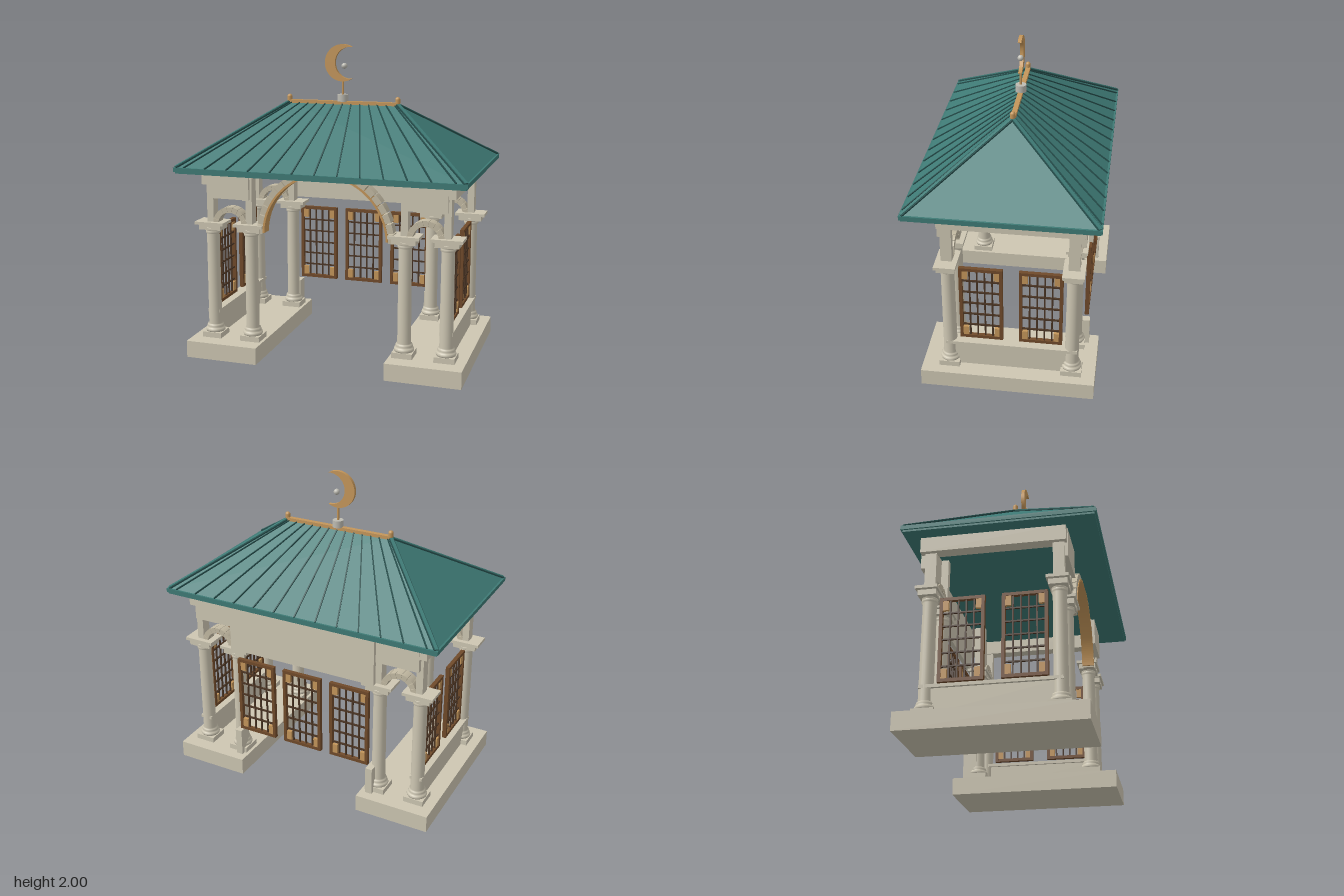
import * as THREE from 'three';
import { ConvexGeometry } from 'three/addons/geometries/ConvexGeometry.js';

const mat = (name, color) => {
  const m = new THREE.MeshStandardMaterial({ color });
  m.name = name;
  return m;
};

export function createModel() {
  const model = new THREE.Group();
  model.name = 'pavilion';
  const stone = mat('stone', 0xcdc6b2);
  const archStone = mat('archStone', 0xc2b9a2);
  const teal = mat('tealRoof', 0x3e7a75);
  const darkTeal = mat('darkTealSeam', 0x254d4b);
  const gold = mat('gold', 0xc4965a);
  const wood = mat('frameWood', 0x704a2a);
  const darkWood = mat('latticeWood', 0x4b3524);
  const grey = mat('paleGrey', 0xbdbbb2);

  const add = (parent, name, geometry, material, x = 0, y = 0, z = 0) => {
    const m = new THREE.Mesh(geometry, material);
    m.name = name;
    m.position.set(x, y, z);
    parent.add(m);
    return m;
  };
  // Box given by its low and high limits on each axis
  const box = (parent, name, material, x0, x1, y0, y1, z0, z1) =>
    add(parent, name, new THREE.BoxGeometry(x1 - x0, y1 - y0, z1 - z0), material,
      (x0 + x1) / 2, (y0 + y1) / 2, (z0 + z1) / 2);
  // Square bar between two points
  const bar = (parent, name, material, a, b, w, h) => {
    const m = add(parent, name, new THREE.BoxGeometry(w, h, a.distanceTo(b)), material);
    m.position.copy(a).add(b).multiplyScalar(0.5);
    m.lookAt(b);
    return m;
  };
  // Part of a ring, extruded along z and centred on z = 0
  const ringPart = (ri, ro, a0, a1, depth, steps = 24) => {
    const s = new THREE.Shape();
    s.absarc(0, 0, ro, a0, a1, false);
    s.absarc(0, 0, ri, a1, a0, true);
    return new THREE.ExtrudeGeometry(s, { depth, bevelEnabled: false, curveSegments: steps })
      .translate(0, 0, -depth / 2);
  };
  const blockArch = (name, x, y, z, ri, ro, depth, count) => {
    const g = new THREE.Group();
    g.name = name;
    g.position.set(x, y, z);
    const step = Math.PI / count;
    for (let i = 0; i < count; i++) {
      add(g, 'archBlock', ringPart(ri, ro, i * step + 0.008, (i + 1) * step - 0.008, depth, 3), archStone);
    }
    model.add(g);
    return g;
  };

  // Column with stepped base, capital and upper post
  const column = (x, z) => {
    const g = new THREE.Group();
    g.name = 'column';
    g.position.set(x, 0, z);
    box(g, 'columnPlinth', stone, -0.065, 0.065, 0.11, 0.145, -0.065, 0.065);
    const profile = [[0, 0.145], [0.06, 0.145], [0.064, 0.155], [0.06, 0.168], [0.051, 0.17],
      [0.055, 0.18], [0.051, 0.192], [0.043, 0.196], [0.041, 0.8], [0.048, 0.805], [0.048, 0.82],
      [0.043, 0.822], [0.058, 0.845], [0, 0.845]].map(p => new THREE.Vector2(...p));
    const shaft = new THREE.LatheGeometry(profile, 20);
    add(g, 'columnShaft', shaft, stone);
    box(g, 'capital', stone, -0.075, 0.075, 0.83, 0.865, -0.055, 0.055);
    box(g, 'capitalSlab', stone, -0.098, 0.098, 0.863, 0.882, -0.066, 0.066);
    box(g, 'upperPost', stone, -0.022, 0.022, 0.88, 1.225, -0.034, 0.034);
    model.add(g);
  };

  // Framed lattice screen, facing z
  const screen = (x, z, turn) => {
    const g = new THREE.Group();
    g.name = 'latticeScreen';
    const w = 0.133, h = 0.26, t = 0.02;
    for (const s of [-1, 1]) {
      add(g, 'frameStile', new THREE.BoxGeometry(t, 2 * h, 0.026), wood, s * (w - t / 2), 0, 0);
      add(g, 'frameRail', new THREE.BoxGeometry(2 * w, t, 0.025), wood, 0, s * (h - t / 2), 0);
      for (const v of [-1, 1]) {
        add(g, 'cornerPlate', new THREE.BoxGeometry(0.036, 0.062, 0.02), gold, s * 0.098, v * 0.212, 0);
      }
    }
    for (let i = 0; i < 4; i++) {
      add(g, 'latticeUpright', new THREE.BoxGeometry(0.009, 2 * h - t, 0.01), darkWood, (i - 1.5) * 0.046, 0, 0);
    }
    for (let i = 0; i < 5; i++) {
      add(g, 'latticeCross', new THREE.BoxGeometry(2 * w - t, 0.009, 0.011), darkWood, 0, (i - 2) * 0.082, 0);
    }
    g.position.set(x, 0.57, z);
    g.rotation.y = turn;
    model.add(g);
  };

  const zFront = 0.34, zBack = -0.42;
  for (const s of [-1, 1]) {
    const side = (name, m, x0, x1, ...r) => box(model, name, m, Math.min(s * x0, s * x1), Math.max(s * x0, s * x1), ...r);
    side('base', stone, 0.42, 0.9, 0, 0.11, -0.57, 0.51);
    side('lowWall', stone, 0.745, 0.795, 0.11, 0.272, -0.44, 0.34);
    side('lowWallRail', stone, 0.73, 0.812, 0.27, 0.29, -0.455, 0.36);
    side('backStub', stone, 0.455, 0.5, 0.11, 0.29, -0.51, -0.42);
    side('sideBeam', stone, 0.74, 0.82, 1.125, 1.225, -0.48, 0.388);
    for (const z of [zFront, zBack]) {
      column(s * 0.77, z);
      column(s * 0.505, z);
      blockArch('smallArch', s * 0.637, 0.868, z, 0.08, 0.116, 0.07, 9);
    }
    side('frontFascia', stone, 0.497, 0.775, 1.04, 1.225, 0.35, 0.393);
    side('backFascia', stone, 0.497, 0.775, 1.04, 1.225, -0.485, -0.43);
    screen(s * 0.77, 0.14, Math.PI / 2);
    screen(s * 0.77, -0.225, Math.PI / 2);
  }
  for (const x of [-0.33, 0, 0.33]) screen(x, -0.487, 0);
  box(model, 'backPanel', stone, -0.5, 0.5, 0.895, 1.21, -0.51, -0.482);

  // Large front arch with gold lining
  blockArch('frontArch', 0, 0.825, 0.352, 0.408, 0.446, 0.07, 21);
  add(model, 'archLining', ringPart(0.395, 0.408, 0.03, Math.PI - 0.03, 0.078, 48), gold, 0, 0.825, 0.352);

  // Hipped roof on an eave slab
  const ex = 0.92, ez = 0.577, ey = 1.25, ry = 1.63, rx = 0.36;
  box(model, 'eaveLower', teal, -0.91, 0.91, 1.22, 1.234, -0.567, 0.567);
  box(model, 'eaveUpper', teal, -ex, ex, 1.232, ey + 0.008, -ez, ez);
  const V = (x, y, z) => new THREE.Vector3(x, y, z);
  add(model, 'roof', new ConvexGeometry([V(-ex, ey, ez), V(ex, ey, ez), V(ex, ey, -ez), V(-ex, ey, -ez),
    V(-rx, ry, 0), V(rx, ry, 0)]), teal);
  for (const s of [-1, 1]) {
    for (let i = -6; i <= 6; i++) {
      bar(model, 'roofSeam', darkTeal, V(i * 0.142, ey + 0.008, s * (ez - 0.008)), V(i * 0.0556, ry, 0), 0.008, 0.01);
    }
    for (const e of [-1, 1]) {
      bar(model, 'hipEdge', darkTeal, V(e * (ex - 0.012), ey + 0.008, s * (ez - 0.012)), V(e * rx, ry, 0), 0.03, 0.009);
      bar(model, 'hipCap', teal, V(e * (ex - 0.012), ey + 0.01, s * (ez - 0.012)), V(e * rx, ry + 0.002, 0), 0.019, 0.016);
    }
  }

  // Ridge and crescent finial
  box(model, 'ridgeBar', gold, -rx, rx, 1.62, 1.642, -0.015, 0.015);
  for (const s of [-1, 1]) {
    add(model, 'ridgeEnd', new THREE.CapsuleGeometry(0.016, 0.022, 6, 14), gold, s * rx, 1.65, 0);
  }
  add(model, 'finialBlock', new THREE.CylinderGeometry(0.034, 0.034, 0.045, 20), grey, 0, 1.662, 0);
  add(model, 'finialRod', new THREE.CylinderGeometry(0.007, 0.007, 0.1, 10), gold, 0, 1.73, 0);
  const c = new THREE.Shape();
  const a = Math.atan2(0.1, 0.06), b = Math.atan2(0.1, 0.01);
  c.absarc(0, 0, 0.117, a, 2 * Math.PI - a, false);
  c.absarc(0.05, 0, 0.1, -b, b - 2 * Math.PI, true);
  const crescent = new THREE.ExtrudeGeometry(c, { depth: 0.022, bevelEnabled: false, curveSegments: 40 });
  add(model, 'crescent', crescent, gold, 0, 1.883, -0.011);
  add(model, 'finialBall', new THREE.SphereGeometry(0.019, 18, 12), grey, 0.01, 1.864, 0);

  return model;
}
